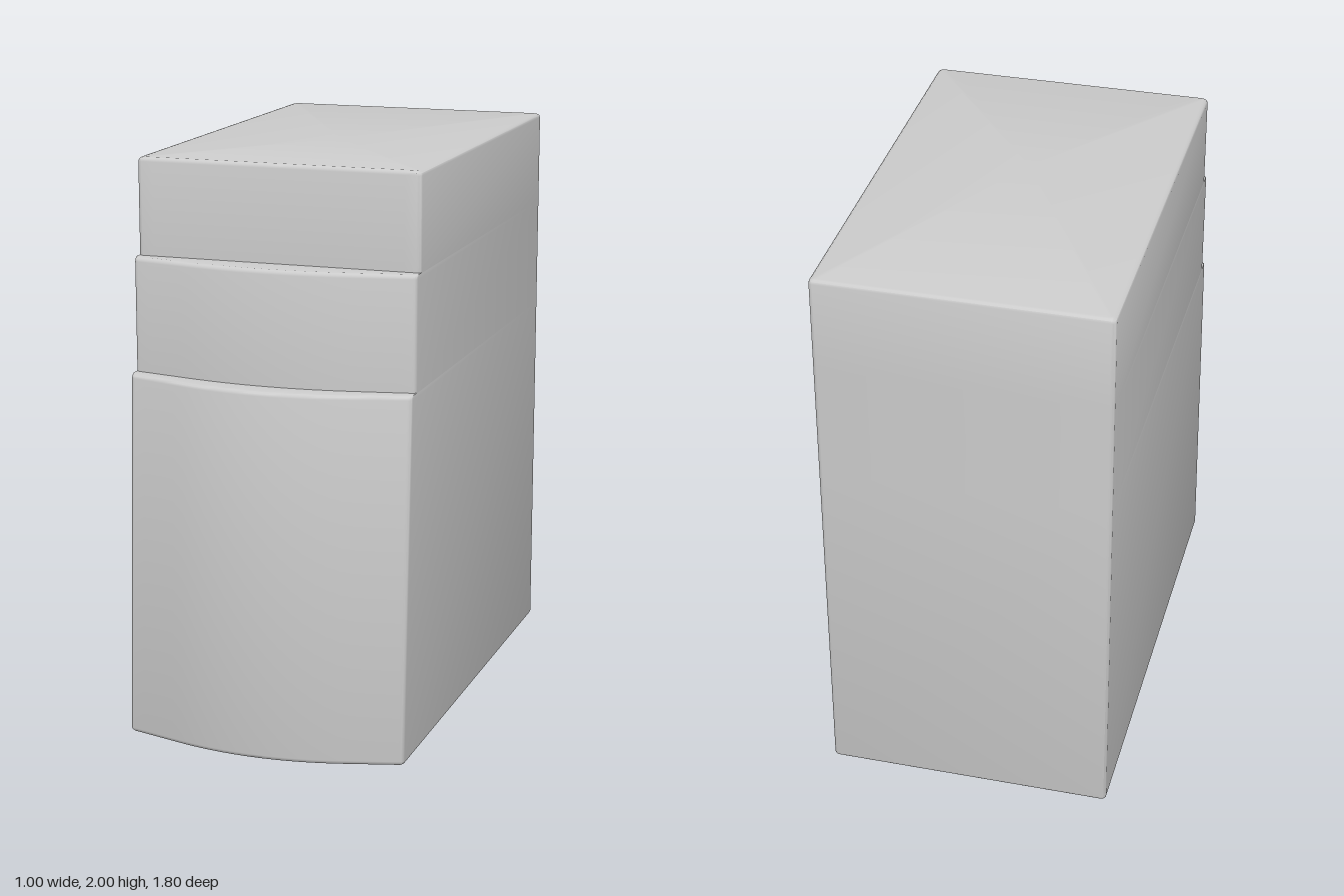
import * as THREE from 'three';
import { toCreasedNormals } from 'three/addons/utils/BufferGeometryUtils.js';

const HALF = 0.5, BACK = -0.9, R = 0.015, STEPS = 3;

// Bow of the front: curved in the middle, straight towards the sides (1 at centre, 0 at the sides)
function bow(x) {
  const a = Math.abs(x), c = 1 / 0.21;
  return a < 0.3 ? 1 - c * a * a : 1 - c * (0.6 * a - 0.09);
}

// Horizontal outline with rounded corners; edge and centre are the front depths, the insets shrink it
function ring(y, edge, centre, frontInset = 0, inset = 0) {
  const pts = [], w = HALF - inset, b = BACK + inset;
  const front = (x) => edge + (centre - edge) * bow(x) - frontInset;
  const corner = (cx, cz, start) => {
    for (let i = 0; i <= STEPS; i++) {
      const t = start + (i / STEPS) * Math.PI / 2;
      pts.push([cx + R * Math.cos(t), y, cz - R * Math.sin(t)]);
    }
  };
  const zc = front(w - R) - R;
  corner(-w + R, zc, Math.PI);
  const n = 24;
  for (let i = 1; i < n; i++) {
    const x = (w - R) * (2 * i / n - 1);
    pts.push([x, y, front(x)]);
  }
  corner(w - R, zc, -Math.PI / 2);
  corner(w - R, b + R, 0);
  corner(-w + R, b + R, Math.PI / 2);
  return pts;
}

// Skin stacked outlines and close both ends
function loft(rings) {
  const pos = [];
  const va = new THREE.Vector3(), vb = new THREE.Vector3(), vc = new THREE.Vector3();
  const tri = (a, b, c) => {
    va.set(...a); vb.set(...b).sub(va); vc.set(...c).sub(va);
    if (vb.cross(vc).length() > 1e-9) pos.push(...a, ...b, ...c);
  };
  const n = rings[0].length, top = rings[rings.length - 1];
  for (let k = 0; k < rings.length - 1; k++) {
    for (let i = 0; i < n; i++) {
      const j = (i + 1) % n, lo = rings[k], hi = rings[k + 1];
      tri(lo[i], lo[j], hi[j]);
      tri(lo[i], hi[j], hi[i]);
    }
  }
  for (let i = 0; i < n; i++) {
    const j = (i + 1) % n;
    tri([0, rings[0][0][1], 0], rings[0][j], rings[0][i]);
    tri([0, top[0][1], 0], top[i], top[j]);
  }
  const g = new THREE.BufferGeometry();
  g.setAttribute('position', new THREE.Float32BufferAttribute(pos, 3));
  return toCreasedNormals(g, 0.62);
}

export function createModel() {
  const rings = [];
  const arc = (i) => {
    const t = (i / STEPS) * Math.PI / 2;
    return { rise: R * Math.sin(t), inset: R * (1 - Math.cos(t)) };
  };
  // Rounded top edge of a front tier; the sides run on unless it is the very top
  const roundTop = (y, edge, centre, all) => {
    for (let i = 0; i <= STEPS; i++) {
      const { rise, inset } = arc(i);
      rings.push(ring(y - R + rise, edge, centre, inset, all ? inset : 0));
    }
  };

  // Rounded foot, then the sloping lower tier
  for (let i = STEPS; i >= 0; i--) {
    const { rise, inset } = arc(i);
    rings.push(ring(R - rise, 0.8, 0.9, inset, inset));
  }
  roundTop(1.27, 0.735, 0.84, false);

  // Upright bowed middle tier
  rings.push(ring(1.27, 0.69, 0.76));
  roundTop(1.665, 0.69, 0.76, false);

  // Flat upper tier and top
  rings.push(ring(1.665, 0.65, 0.65));
  roundTop(2, 0.65, 0.65, true);

  const body = new THREE.Mesh(loft(rings), new THREE.MeshStandardMaterial({ color: 0xcccccc }));
  body.name = 'towerCasing';
  const model = new THREE.Group();
  model.name = 'tower';
  model.add(body);
  return model;
}
